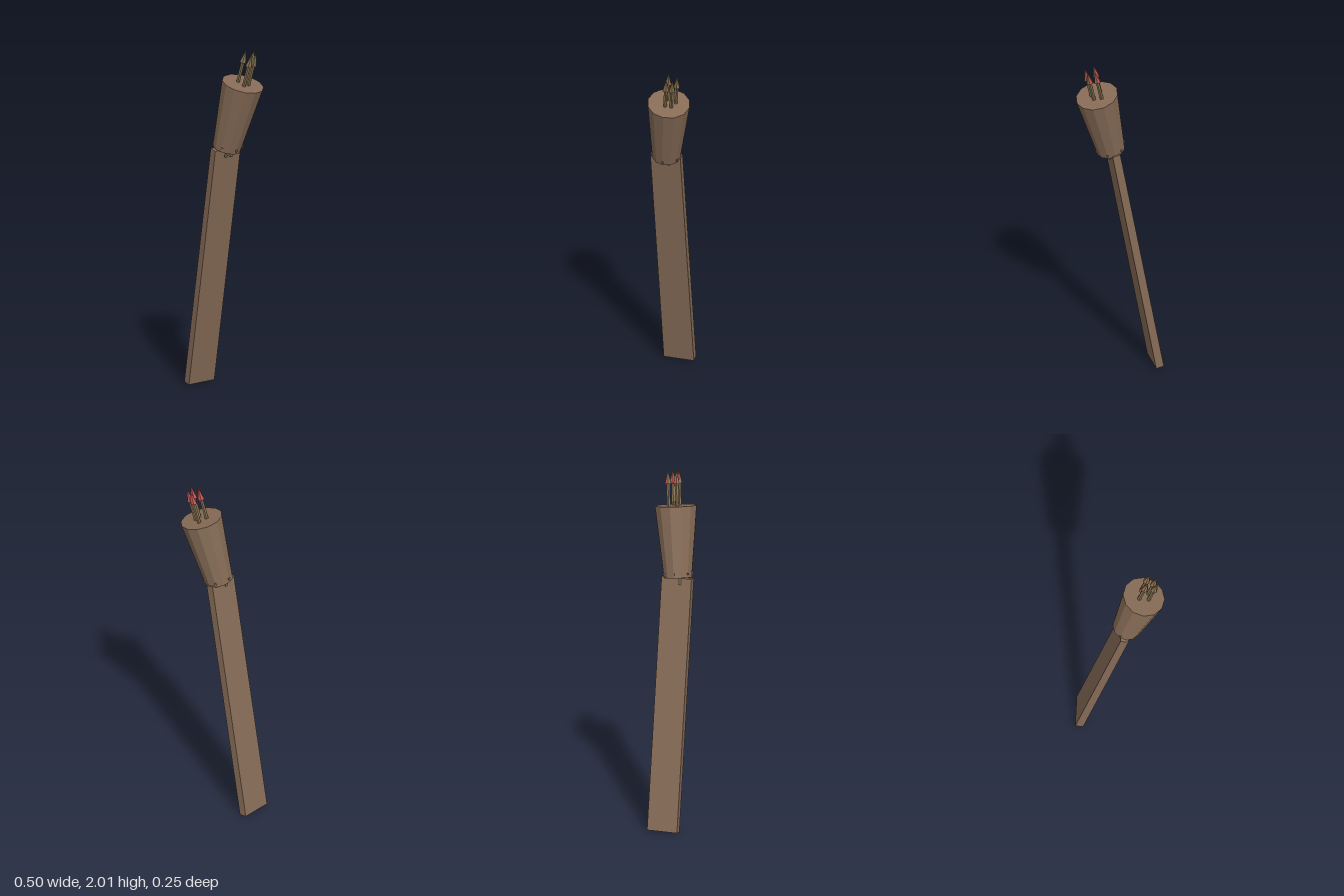
import * as THREE from 'three';

export function createModel() {
  const model = new THREE.Group();
  model.name = 'quiverOnPost';
  const material = (name, color) => {
    const m = new THREE.MeshStandardMaterial({ color, flatShading: true });
    m.name = name;
    return m;
  };
  const wood = material('brown wood', 0x876c57);
  const shaftWood = material('olive wood', 0x84714f);
  const red = material('red', 0xc25250);

  const add = (parent, name, geometry, mat, x = 0, y = 0, z = 0) => {
    const mesh = new THREE.Mesh(geometry, mat);
    mesh.name = name;
    mesh.position.set(x, y, z);
    parent.add(mesh);
    return mesh;
  };

  // Leaning plank
  const bottom = new THREE.Vector3(-0.225, 0.004, 0.027);
  const top = new THREE.Vector3(0.028, 1.418, 0.036);
  const up = top.clone().sub(bottom);
  const length = up.length();
  up.normalize();
  const side = up.clone().cross(new THREE.Vector3(-0.03, 0, 1)).normalize();
  const depth = side.clone().cross(up);
  const post = add(model, 'post', new THREE.BoxGeometry(0.045, length, 0.175), wood);
  post.position.copy(bottom).add(top).multiplyScalar(0.5);
  post.quaternion.setFromRotationMatrix(new THREE.Matrix4().makeBasis(side, up, depth));

  // Tapered quiver, tilted sideways and slightly back
  const quiver = new THREE.Group();
  quiver.name = 'quiver';
  quiver.position.set(0.035, 1.415, 0.035);
  quiver.quaternion.setFromUnitVectors(
    new THREE.Vector3(0, 1, 0), new THREE.Vector3(0.2385, 0.966, -0.1).normalize());
  model.add(quiver);
  add(quiver, 'quiverBody', new THREE.CylinderGeometry(0.12, 0.08, 0.402, 12), wood, 0, 0.201, 0);

  // Small studs around the lower rim
  for (let i = 0; i < 6; i++) {
    const a = (i + 0.5) * Math.PI / 3;
    add(quiver, 'stud', new THREE.BoxGeometry(0.01, 0.012, 0.01), wood,
      Math.sin(a) * 0.082, 0.022, Math.cos(a) * 0.082).rotation.y = a;
  }

  // Arrows passing through the quiver, heads partly painted red
  const tip = 0.605, head = 0.08, start = -0.04, turn = Math.PI / 3;
  const redStart = THREE.MathUtils.degToRad(165);
  for (const [x, z] of [[-0.016, -0.037], [0.024, -0.021], [-0.027, 0.015], [0.027, 0.014]]) {
    const arrow = new THREE.Group();
    arrow.name = 'arrow';
    arrow.position.set(x, 0, z);
    quiver.add(arrow);
    const shaftLength = tip - head - start;
    add(arrow, 'arrowShaft', new THREE.CylinderGeometry(0.011, 0.011, shaftLength, 6),
      shaftWood, 0, start + shaftLength / 2, 0).rotation.y = redStart;
    add(arrow, 'arrowHeadPaint',
      new THREE.ConeGeometry(0.02, head, 2, 1, false, redStart, 2 * turn), red, 0, tip - head / 2, 0);
    add(arrow, 'arrowHead',
      new THREE.ConeGeometry(0.02, head, 4, 1, false, redStart + 2 * turn, 4 * turn), shaftWood, 0, tip - head / 2, 0);
  }
  return model;
}
